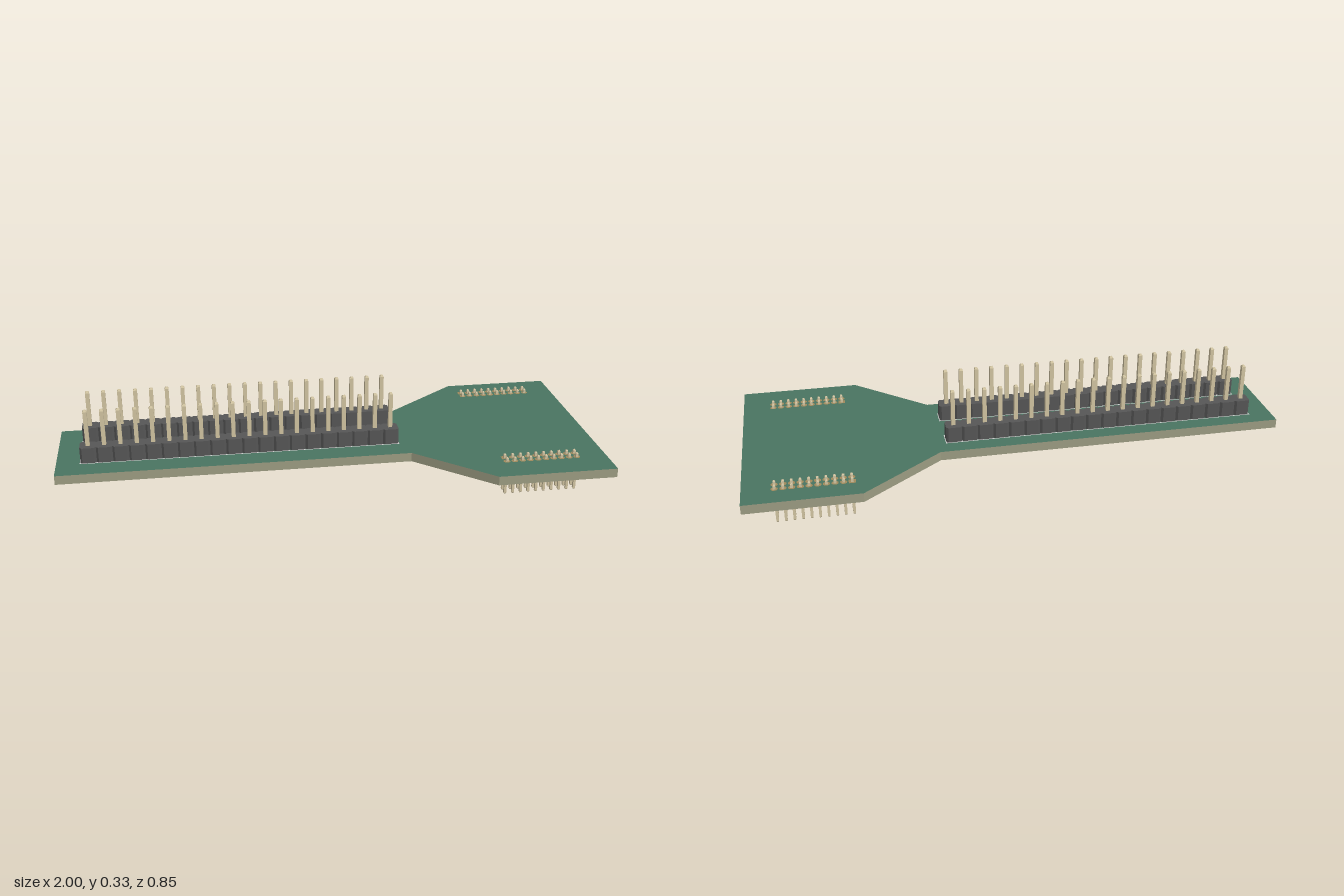
import * as THREE from 'three';

const mat = (color, extra = {}) => new THREE.MeshStandardMaterial({ color, ...extra });
const green = mat(0x4a7461), edge = mat(0x9c9c82), plastic = mat(0x565656, { flatShading: true });
const metal = mat(0xd2c5a2, { flatShading: true }), copper = mat(0xa08a5c), ink = mat(0xd8dcd8);

const BOTTOM = 0.096, TOP = 0.13;

function add(parent, name, geometry, material, x = 0, y = 0, z = 0) {
  const mesh = new THREE.Mesh(geometry, material);
  mesh.name = name;
  mesh.position.set(x, y, z);
  parent.add(mesh);
  return mesh;
}

// Extrude an outline of [x, z] points upwards
function slab(points, height) {
  const shape = new THREE.Shape(points.map(([x, z]) => new THREE.Vector2(x, -z)));
  return new THREE.ExtrudeGeometry(shape, { depth: height, bevelEnabled: false }).rotateX(-Math.PI / 2);
}

// Square pin with chamfered tips, standing on y = 0
function pinGeometry(width, length) {
  const r = width * Math.SQRT1_2, c = width * 0.35;
  const profile = [[0, 0], [r * 0.6, 0], [r, c], [r, length - c], [r * 0.6, length], [0, length]];
  return new THREE.LatheGeometry(profile.map(p => new THREE.Vector2(...p)), 4).rotateY(Math.PI / 4);
}

// Header body: a row of cells with notched corners
function headerBody(count, pitch, depth, height, notch) {
  const side = [];
  for (let i = 0; i < count; i++) {
    const x0 = (i - count / 2) * pitch, x1 = x0 + pitch;
    side.push([x0, depth / 2 - notch], [x0 + notch, depth / 2], [x1 - notch, depth / 2]);
  }
  side.push([count * pitch / 2, depth / 2 - notch]);
  return slab([...side, ...side.map(([x, z]) => [-x, -z])], height);
}

// Printed rectangle around a header
function outline(w, d, line) {
  const rect = (path, a, b) => path.moveTo(-a, -b).lineTo(a, -b).lineTo(a, b).lineTo(-a, b).closePath();
  const shape = rect(new THREE.Shape(), w / 2, d / 2);
  shape.holes.push(rect(new THREE.Path(), w / 2 - line, d / 2 - line));
  return new THREE.ShapeGeometry(shape).rotateX(-Math.PI / 2);
}

export function createModel() {
  const root = new THREE.Group();
  root.name = 'adapterBoard';

  // Board
  const corners = [[-1, 0.19], [0.295, 0.19], [0.56, 0.425], [1, 0.425],
    [1, -0.425], [0.59, -0.425], [0.295, -0.195], [-1, -0.195]];
  add(root, 'board', slab(corners, TOP - BOTTOM), [green, edge], 0, BOTTOM, 0);

  // Two long single-row headers on top
  const pitch = 0.0588, cx = -0.324;
  const longBody = headerBody(20, pitch, 0.058, 0.06, 0.0075);
  const longPin = pinGeometry(0.0148, 0.265);
  [[0.074, -1], [-0.103, 1]].forEach(([z, firstPin]) => {
    const header = new THREE.Group();
    header.name = 'longHeader';
    header.position.set(cx, 0, z);
    root.add(header);
    add(header, 'longHeaderBody', longBody, plastic, 0, TOP, 0);
    for (let i = 0; i < 20; i++) add(header, 'longPin', longPin, metal, (i - 9.5) * pitch, 0.063, 0);
    add(header, 'printedOutline', outline(20 * pitch + 0.006, 0.066, 0.005), ink, 0, TOP + 0.001, 0);
    add(header, 'firstPinMark', outline(pitch + 0.006, 0.066, 0.005), ink, firstPin * 9.5 * pitch, TOP + 0.001, 0);
  });

  // Two small double-row headers hanging below
  const fine = 0.0294;
  const smallBody = headerBody(10, fine, 0.078, 0.024, 0.004);
  const smallPin = pinGeometry(0.0095, 0.147);
  const roundPad = new THREE.RingGeometry(0.005, 0.0125, 16).rotateX(-Math.PI / 2);
  const squarePad = outline(0.025, 0.025, 0.0075);
  for (const z of [0.295, -0.324]) {
    const header = new THREE.Group();
    header.name = 'smallHeader';
    header.position.set(0.755, 0, z);
    root.add(header);
    add(header, 'smallHeaderBody', smallBody, plastic, 0, BOTTOM - 0.024, 0);
    for (let i = 0; i < 10; i++) for (const row of [-1, 1]) {
      const x = (i - 4.5) * fine, dz = row * fine / 2;
      add(header, 'smallPin', smallPin, metal, x, 0, dz);
      add(header, 'pad', i === 0 && row < 0 ? squarePad : roundPad, copper, x, TOP + 0.001, dz);
    }
  }
  return root;
}
